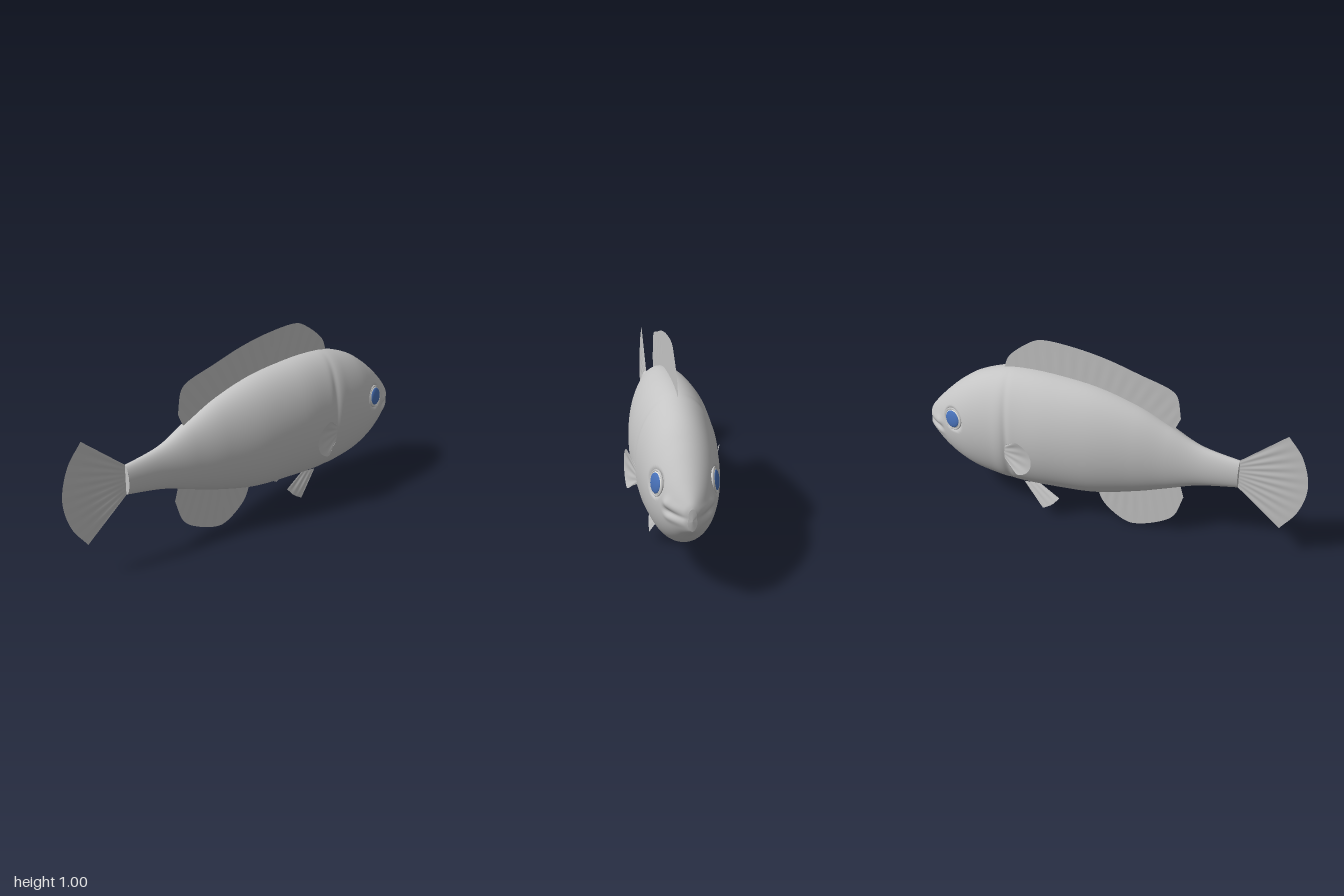
import * as THREE from 'three';

const skin = new THREE.MeshStandardMaterial({ name: 'grey skin', color: 0xc4c4c4 });
const finSkin = new THREE.MeshStandardMaterial({ name: 'grey fin', color: 0xc4c4c4, side: THREE.DoubleSide });
const eyeWhite = new THREE.MeshStandardMaterial({ name: 'eye white', color: 0xdcdcd8 });
const eyeBlue = new THREE.MeshStandardMaterial({ name: 'eye blue', color: 0x4871b8 });

// Body stations, tail to snout: x, top, bottom, half width
const stations = [
  [-0.665, 0.54, 0.385, 0.032], [-0.47, 0.577, 0.347, 0.052], [-0.31, 0.655, 0.29, 0.085],
  [-0.15, 0.733, 0.235, 0.125], [0.06, 0.795, 0.182, 0.17], [0.28, 0.82, 0.165, 0.192],
  [0.44, 0.822, 0.157, 0.19], [0.56, 0.806, 0.162, 0.184], [0.7, 0.753, 0.185, 0.168],
  [0.8, 0.685, 0.225, 0.143], [0.88, 0.612, 0.275, 0.11], [0.94, 0.547, 0.325, 0.075],
  [0.98, 0.497, 0.357, 0.041], [0.993, 0.472, 0.37, 0.02],
];
const profile = k => new THREE.SplineCurve(stations.map(s => new THREE.Vector2(s[0], s[k])));
const [topLine, bottomLine, widthLine] = [1, 2, 3].map(profile);
const eyeAt = { x: 0.805, y: 0.517, z: 0.125 };
const bump = (d, w) => Math.exp(-(d * d) / (w * w));

function gridGeometry(points, rows, cols) {
  const index = [];
  for (let i = 0; i < rows; i++) {
    for (let j = 0; j < cols; j++) {
      const a = i * (cols + 1) + j, b = a + cols + 1;
      index.push(a, b, a + 1, b, b + 1, a + 1);
    }
  }
  const g = new THREE.BufferGeometry();
  g.setAttribute('position', new THREE.Float32BufferAttribute(points, 3));
  g.setIndex(index);
  g.computeVertexNormals();
  return g;
}

// Elliptical sections with a gill crease, eye sockets, mouth groove and lips
function bodyGeometry() {
  const rows = 200, cols = 120, points = [];
  for (let i = 0; i <= rows + 1; i++) {
    const t = Math.min(i / rows, 1);
    const x = topLine.getPoint(t).x, top = topLine.getPoint(t).y, bottom = bottomLine.getPoint(t).y;
    const half = widthLine.getPoint(t).y, cy = (top + bottom) / 2, hy = (top - bottom) / 2;
    for (let j = 0; j <= cols; j++) {
      if (i > rows) { points.push(0.997, 0.42, 0); continue; }
      // Sweep from the belly, up the left side and down the right
      const a = (j / cols) * Math.PI * 2 - Math.PI / 2;
      const y = cy + hy * Math.sin(a);
      const gill = 0.49 + 0.25 * (y - 0.48) ** 2;
      const snout = THREE.MathUtils.smoothstep(x, 0.86, 0.92);
      let k = 1 - 0.035 * bump(x - gill, 0.018) + 0.012 * bump(x - gill - 0.05, 0.03);
      k -= 0.13 * (1 - THREE.MathUtils.smoothstep(Math.hypot(x - eyeAt.x, y - eyeAt.y), 0.045, 0.064));
      k += 0.07 * bump(Math.hypot(x - 0.91, y - 0.475), 0.022);
      k += snout * (0.08 * bump(y - 0.462, 0.018) - 0.12 * bump(y - 0.43, 0.012) + 0.07 * bump(y - 0.4, 0.016));
      points.push(x, y, half * Math.cos(a) * k);
    }
  }
  const g = gridGeometry(points, rows + 1, cols);
  // Match the normals along the belly seam
  const n = g.attributes.normal;
  for (let i = 0; i <= rows + 1; i++) {
    for (const j of [i * (cols + 1), i * (cols + 1) + cols]) {
      const v = new THREE.Vector3(n.getX(j), n.getY(j), 0).normalize();
      n.setXYZ(j, v.x, v.y, 0);
    }
  }
  return g;
}

// Faintly rippled sheet stretched between a root line and an outer edge
function fin(name, root, edge, rays, ripple) {
  const curve = p => new THREE.CatmullRomCurve3(p.map(q => new THREE.Vector3(q[0], q[1], q[2] || 0)), false, 'centripetal');
  const inner = curve(root), outer = curve(edge), rows = 8, cols = 96, points = [];
  for (let i = 0; i <= rows; i++) {
    for (let j = 0; j <= cols; j++) {
      const s = i / rows, t = j / cols;
      const p = inner.getPointAt(t).lerp(outer.getPointAt(t), s);
      const wave = ripple * Math.sin(t * rays * Math.PI * 2) * Math.sin(Math.PI * s);
      points.push(p.x, p.y, p.z + wave);
    }
  }
  const mesh = new THREE.Mesh(gridGeometry(points, rows, cols), finSkin);
  mesh.name = name;
  return mesh;
}

function eye(side) {
  const g = new THREE.Group();
  g.name = side > 0 ? 'leftEye' : 'rightEye';
  const add = (name, geometry, material, z, flat) => {
    const m = new THREE.Mesh(geometry, material);
    m.name = name;
    m.position.z = z;
    m.scale.z = flat;
    g.add(m);
  };
  add('eyelid', new THREE.TorusGeometry(0.054, 0.005, 10, 40), skin, 0.002, 1);
  add('eyeball', new THREE.SphereGeometry(0.053, 32, 20), eyeWhite, 0, 0.3);
  const cap = new THREE.SphereGeometry(0.046, 32, 12, 0, Math.PI * 2, 0, Math.PI / 2).rotateX(Math.PI / 2);
  add('iris', cap, eyeBlue, 0.006, 0.27);
  g.position.set(eyeAt.x, eyeAt.y, side * eyeAt.z);
  // Turn outward, a little forward and up
  g.rotation.set(side * -0.16, side > 0 ? 0.32 : Math.PI - 0.32, 0);
  return g;
}

export function createModel() {
  const fish = new THREE.Group();
  fish.name = 'fish';

  const body = new THREE.Mesh(bodyGeometry(), skin);
  body.name = 'body';
  const stump = new THREE.Mesh(new THREE.CircleGeometry(1, 48), skin);
  stump.name = 'tailRoot';
  stump.scale.set(0.032, 0.0775, 1);
  stump.rotation.y = -Math.PI / 2;
  stump.position.set(-0.665, 0.4625, 0);
  fish.add(body, stump);

  fish.add(
    fin('tailFin', [[-0.655, 0.535], [-0.655, 0.39]],
      [[-0.885, 0.735], [-0.96, 0.63], [-1, 0.465], [-0.965, 0.31], [-0.885, 0.19]], 9, 0.0012),
    fin('dorsalFin', [[-0.33, 0.635], [-0.1, 0.735], [0.2, 0.79], [0.56, 0.785]],
      [[-0.362, 0.71], [-0.34, 0.83], [-0.31, 0.86], [-0.15, 0.912], [0.01, 0.96], [0.17, 0.99],
        [0.34, 1], [0.39, 0.987], [0.53, 0.875], [0.56, 0.805]], 16, 0.0005),
    fin('analFin', [[-0.37, 0.33], [-0.15, 0.25], [0.07, 0.2]],
      [[-0.393, 0.245], [-0.345, 0.115], [-0.27, 0.055], [-0.12, 0.004], [-0.05, 0.027],
        [0.035, 0.1], [0.07, 0.18]], 10, 0.0005),
  );

  // Paired fins and eyes
  for (const side of [1, -1]) {
    const pair = pts => pts.map(([x, y, z]) => [x, y, z * side]);
    const label = side > 0 ? 'left' : 'right';
    fish.add(
      fin(label + 'PectoralFin', pair([[0.5, 0.46, 0.178], [0.5, 0.42, 0.18], [0.5, 0.38, 0.178]]),
        pair([[0.46, 0.49, 0.198], [0.415, 0.518, 0.216], [0.355, 0.48, 0.221], [0.336, 0.42, 0.222],
          [0.355, 0.36, 0.221], [0.415, 0.325, 0.216], [0.46, 0.355, 0.198]]), 5, 0.0012),
      fin(label + 'PelvicFin', pair([[0.36, 0.185, 0.07], [0.45, 0.175, 0.07]]),
        pair([[0.245, 0.13, 0.092], [0.285, 0.085, 0.102], [0.335, 0.052, 0.104]]), 3, 0.001),
      eye(side),
    );
  }
  return fish;
}
